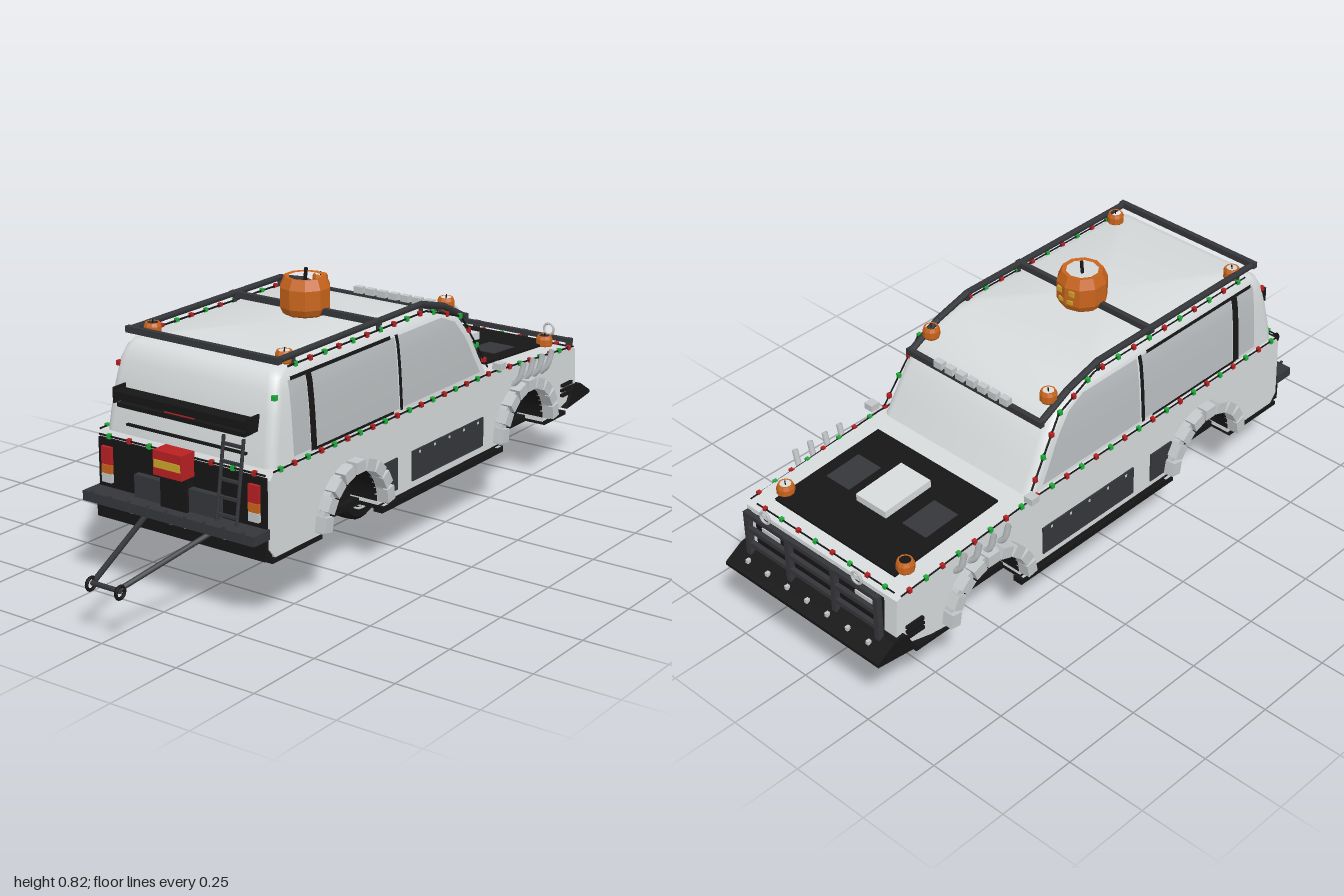
import * as THREE from 'three';
import { toCreasedNormals } from 'three/addons/utils/BufferGeometryUtils.js';

export function createModel() {
  const root = new THREE.Group();
  const mat = (name, color, side = THREE.FrontSide) => {
    const m = new THREE.MeshStandardMaterial({ color, side });
    m.name = name;
    return m;
  };
  const body = mat('body white', 0xd6dadb);
  const glass = mat('window grey', 0xb9bdbf, THREE.DoubleSide);
  const dark = mat('dark grey', 0x35363a, THREE.DoubleSide);
  const black = mat('black', 0x161617, THREE.DoubleSide);
  const steel = mat('light steel', 0xc3c7c9, THREE.DoubleSide);
  const orange = mat('pumpkin orange', 0xc8641c);
  const red = mat('red', 0xb82022);
  const green = mat('green', 0x1fae3c);
  const yellow = mat('yellow', 0xcda52a);

  const add = (name, geo, m, x = 0, y = 0, z = 0, parent = root) => {
    const mesh = new THREE.Mesh(geo, m);
    mesh.name = name;
    mesh.position.set(x, y, z);
    parent.add(mesh);
    return mesh;
  };
  const box = (name, m, w, h, d, x, y, z) => add(name, new THREE.BoxGeometry(w, h, d), m, x, y, z);
  const V = (p) => new THREE.Vector3(...p);
  const bar = (name, m, a, b, r = 0.008, sides = 6) => {
    const dir = V(b).sub(V(a));
    const mesh = add(name, new THREE.CylinderGeometry(r, r, dir.length(), sides), m);
    mesh.position.copy(V(a)).addScaledVector(dir, 0.5);
    mesh.quaternion.setFromUnitVectors(new THREE.Vector3(0, 1, 0), dir.normalize());
    return mesh;
  };
  // side outline in (z, y), extruded across x
  const across = (shape, x0, x1) => new THREE.ExtrudeGeometry(shape, { depth: x1 - x0, bevelEnabled: false, curveSegments: 16 })
    .rotateY(-Math.PI / 2).translate(x1, 0, 0);
  const sides = [-1, 1];
  const archZ = [0.305, -0.595], archY = 0.205;

  // lower body with wheel arches cut out
  const s = new THREE.Shape();
  s.moveTo(0.645, 0.432); s.lineTo(0.66, 0.41); s.lineTo(0.665, 0.22); s.lineTo(0.64, 0.19);
  for (const z of archZ) {
    s.lineTo(z + 0.135, 0.19);
    s.absarc(z, archY, 0.135, 0, Math.PI, false);
    s.lineTo(z - 0.135, 0.19);
  }
  [[-0.8, 0.2], [-0.925, 0.235], [-0.915, 0.385], [-0.85, 0.403], [-0.42, 0.432]].forEach((p) => s.lineTo(...p));
  add('lowerBody', across(s, -0.295, 0.295), body);

  // cabin: rounded rectangles stacked upward [y, front z, rear z, half width]
  const L = [[0.425, -0.42, 0.645, 0.288], [0.49, -0.38, 0.635, 0.284], [0.563, -0.34, 0.62, 0.279],
    [0.627, -0.285, 0.605, 0.272], [0.66, -0.2, 0.588, 0.264], [0.676, -0.15, 0.57, 0.254], [0.684, -0.1, 0.545, 0.235]];
  const at = (y, col) => {
    let i = 0;
    while (i < L.length - 2 && y > L[i + 1][0]) i++;
    return THREE.MathUtils.mapLinear(y, L[i][0], L[i + 1][0], L[i][col], L[i + 1][col]);
  };
  const pos = [], idx = [], n = 20, r = 0.03;
  for (const [y, zf, zb, w] of L) {
    for (let k = 0; k < n; k++) {
      const q = Math.floor(k / 5), a = (q + (k % 5) / 4) * Math.PI / 2;
      pos.push((q < 2 ? w - r : r - w) + r * Math.sin(a), y, (q % 3 === 0 ? zb - r : zf + r) + r * Math.cos(a));
    }
  }
  pos.push(0, 0.687, 0.2);
  for (let i = 0; i < L.length; i++) {
    for (let k = 0; k < n; k++) {
      const a = i * n + k, b = i * n + (k + 1) % n;
      if (i === L.length - 1) idx.push(a, b, L.length * n);
      else idx.push(a, b, a + n, b, b + n, a + n);
    }
  }
  const cab = new THREE.BufferGeometry();
  cab.setAttribute('position', new THREE.Float32BufferAttribute(pos, 3));
  cab.setIndex(idx);
  add('cabin', toCreasedNormals(cab, 0.6), body);

  // thin panels that follow the cabin side
  const panel = (name, m, side, z0, z1, y0, y1, off) => {
    const g = new THREE.PlaneGeometry(1, 1, 1, 8), p = g.attributes.position;
    for (let i = 0; i < p.count; i++) {
      const y = y0 + (p.getY(i) + 0.5) * (y1 - y0);
      p.setXYZ(i, side * (at(y, 3) + off), y, p.getX(i) < 0 ? z0 : z1 ?? at(y, 1) + 0.045);
    }
    g.computeVertexNormals();
    add(name, g, m);
  };
  for (const sd of sides) {
    panel('frontSideWindow', glass, sd, 0.04, null, 0.445, 0.65, 0.002);
    panel('rearSideWindow', glass, sd, 0.45, 0.06, 0.445, 0.65, 0.002);
    panel('quarterWindow', glass, sd, 0.55, 0.475, 0.445, 0.65, 0.002);
    panel('windowPillar', black, sd, 0.475, 0.45, 0.44, 0.655, 0.004);
    panel('centrePillar', black, sd, 0.058, 0.044, 0.44, 0.655, 0.004);
    panel('upperWindowTrim', black, sd, 0.54, 0.08, 0.648, 0.658, 0.004);
    panel('lowerWindowTrim', black, sd, 0.46, 0.09, 0.438, 0.446, 0.004);
  }

  // underside and wheel wells
  box('floor', black, 0.46, 0.02, 1.48, 0, 0.19, -0.08);
  [[0.66, 0.44], [0.17, -0.46], [-0.73, -0.86]].forEach(([a, b]) => box('floorSection', black, 0.6, 0.012, a - b, 0, 0.187, (a + b) / 2));
  for (const z of archZ) {
    const g = new THREE.CylinderGeometry(0.133, 0.133, 0.586, 20, 1, true, 0, Math.PI).rotateZ(Math.PI / 2);
    add('wheelWell', g, black, 0, archY, z);
    box('innerWell', black, 0.42, 0.12, 0.24, 0, 0.25, z);
  }

  for (const sd of sides) {
    // ribbed arch flares
    for (const z of archZ) {
      const f = new THREE.Shape();
      f.absarc(z, archY, 0.16, 0, Math.PI, false);
      f.absarc(z, archY, 0.133, Math.PI, 0, true);
      add('archFlare', across(f, sd > 0 ? 0.285 : -0.318, sd > 0 ? 0.318 : -0.285), steel);
      for (let i = 0; i < 9; i++) {
        const a = (i + 0.5) / 9 * Math.PI;
        const b = box('flareSegment', steel, 0.035, 0.034, 0.042, sd * 0.315, archY + Math.sin(a) * 0.148, z + Math.cos(a) * 0.148);
        b.rotation.x = Math.PI / 2 - a;
      }
    }
    // side panels, sills and front vents
    box('rearSidePanel', dark, 0.006, 0.095, 0.09, sd * 0.297, 0.26, 0.125);
    box('middleSidePanel', dark, 0.006, 0.09, 0.375, sd * 0.297, 0.26, -0.183);
    for (let i = 0; i < 5; i++) box('panelBolt', steel, 0.006, 0.007, 0.007, sd * 0.299, 0.296, -0.03 - i * 0.077);
    box('sillStep', black, 0.03, 0.018, 0.64, sd * 0.295, 0.18, -0.15);
    for (const z of [0.15, -0.45]) box('stepFoot', steel, 0.03, 0.022, 0.02, sd * 0.293, 0.18, z);
    for (let i = 0; i < 3; i++) box('sideVent', black, 0.014, 0.009, 0.06, sd * 0.298, 0.25 + i * 0.016, -0.86);
    // fender pipes
    for (let i = 0; i < 4; i++) {
      const z = -0.54 - i * 0.055;
      const c = new THREE.CatmullRomCurve3([[0.295, 0.36, z], [0.318, 0.385, z], [0.332, 0.435, z]].map(([x, y, q]) => V([sd * x, y, q])));
      add('fenderPipe', new THREE.TubeGeometry(c, 6, 0.009, 8), steel);
    }
    box('sideMarker', steel, 0.03, 0.02, 0.03, sd * 0.313, 0.452, -0.43);
  }

  // bonnet panel, vents and scoop
  const bonnet = new THREE.Group();
  bonnet.name = 'bonnet';
  bonnet.position.set(0, 0.418, -0.672);
  bonnet.rotation.x = -0.067;
  root.add(bonnet);
  add('bonnetPanel', new THREE.BoxGeometry(0.47, 0.008, 0.385), black, 0, 0, 0, bonnet);
  for (const sd of sides) add('bonnetVent', new THREE.BoxGeometry(0.09, 0.004, 0.12), dark, sd * 0.15, 0.004, 0.02, bonnet);
  add('bonnetScoop', new THREE.BoxGeometry(0.115, 0.03, 0.17), body, 0, 0.012, 0.03, bonnet);

  // roof rack and light bar
  for (const sd of sides) {
    const pts = [[0.57, 0.705], [-0.1, 0.705], [-0.22, 0.672], [-0.33, 0.617]].map(([z, y]) => [sd * 0.25, y, z]);
    for (let i = 0; i < 3; i++) bar('rackRail', dark, pts[i], pts[i + 1], 0.01);
    for (const z of [0.5, 0.11, -0.1]) bar('rackFoot', dark, [sd * 0.25, 0.67, z], [sd * 0.25, 0.705, z], 0.006);
  }
  [[0.705, 0.57], [0.703, 0.115], [0.617, -0.33]].forEach(([y, z]) => box('rackCrossbar', dark, 0.52, 0.018, 0.016, 0, y, z));
  for (let i = 0; i < 7; i++) box('roofLamp', steel, 0.03, 0.022, 0.02, (i - 3) * 0.042, 0.635, -0.335);

  // pumpkins: open-topped ten-sided shells
  const pumpkin = (x, y, z, R, sx = 1) => {
    const pts = [[0.65, -0.8], [0.88, -0.62], [1, -0.38], [1, 0.38], [0.82, 0.78], [0.64, 0.76]].map(([a, b]) => new THREE.Vector2(a * R, b * R * sx));
    const g = new THREE.LatheGeometry(pts, 10).toNonIndexed();
    g.computeVertexNormals();
    add('pumpkin', g, orange, x, y, z);
    bar('pumpkinStem', black, [x, y + R * 0.6, z], [x + R * 0.05, y + R * 1.08, z], R * 0.07);
  };
  pumpkin(0, 0.738, 0.11, 0.074);
  for (const sd of sides) {
    box('pumpkinEye', yellow, 0.018, 0.016, 0.006, sd * 0.022, 0.752, 0.041);
    pumpkin(sd * 0.225, 0.695, 0.505, 0.025);
    pumpkin(sd * 0.225, 0.665, -0.27, 0.025);
    pumpkin(sd * 0.235, 0.418, -0.825, 0.026);
  }
  box('pumpkinMouth', yellow, 0.05, 0.012, 0.006, 0, 0.722, 0.041);

  // festive light strings
  const string = (pts, count) => {
    const c = new THREE.CurvePath();
    for (let i = 0; i < pts.length - 1; i++) {
      c.add(new THREE.LineCurve3(V(pts[i]), V(pts[i + 1])));
      bar('lightWire', black, pts[i], pts[i + 1], 0.003, 4);
    }
    for (let i = 0; i < count; i++) {
      const p = c.getPointAt((i + 0.5) / count);
      box('fairyLight', i % 2 ? red : green, 0.011, 0.014, 0.011, p.x, p.y, p.z);
    }
  };
  for (const sd of sides) {
    string([[sd * 0.298, 0.433, 0.65], [sd * 0.298, 0.433, -0.42], [sd * 0.296, 0.395, -0.9]], 26);
    string([[sd * 0.255, 0.681, 0.53], [sd * 0.255, 0.681, -0.12], [sd * 0.272, 0.632, -0.28], [sd * 0.288, 0.45, -0.405]], 16);
    box('rearMarker', sd > 0 ? green : red, 0.012, 0.014, 0.014, sd * 0.265, 0.615, 0.6);
  }
  string([[-0.285, 0.425, 0.668], [0.285, 0.425, 0.668]], 8);
  string([[-0.27, 0.392, -0.9], [0.27, 0.392, -0.9]], 8);

  // tail: recess panel, lamps, bumper, tank, ladder
  box('tailPanel', black, 0.575, 0.215, 0.008, 0, 0.31, 0.666);
  box('tailBoard', dark, 0.29, 0.065, 0.02, 0, 0.312, 0.68);
  box('plate', steel, 0.037, 0.02, 0.006, 0, 0.334, 0.692);
  box('plateMark', yellow, 0.026, 0.007, 0.006, 0, 0.334, 0.694);
  box('rearBumper', dark, 0.59, 0.028, 0.075, 0, 0.264, 0.695);
  box('rearSkirt', black, 0.58, 0.06, 0.03, 0, 0.22, 0.665);
  for (let i = 0; i < 9; i++) box('bumperRib', dark, 0.006, 0.03, 0.008, (i - 4) * 0.065, 0.27, 0.732);
  box('tailMount', black, 0.09, 0.1, 0.05, 0, 0.325, 0.675);
  box('redBox', red, 0.098, 0.07, 0.055, 0, 0.409, 0.695);
  box('yellowBand', yellow, 0.09, 0.022, 0.006, 0, 0.408, 0.722);
  for (const sd of sides) {
    box('tailLampRed', red, 0.034, 0.05, 0.012, sd * 0.253, 0.372, 0.675);
    box('tailLampOrange', orange, 0.034, 0.025, 0.012, sd * 0.253, 0.333, 0.675);
    box('tailLampWhite', steel, 0.034, 0.025, 0.012, sd * 0.253, 0.307, 0.675);
    for (const x of [0.025, 0.16]) add('towRing', new THREE.TorusGeometry(0.014, 0.003, 5, 12), steel, sd * x, 0.241, 0.685);
    bar('ladderRail', dark, [0.18 + sd * 0.033, 0.28, 0.7], [0.18 + sd * 0.033, 0.51, 0.665], 0.005);
    box('spoilerEnd', black, 0.005, 0.045, 0.05, sd * 0.228, 0.547, 0.645);
    for (const x of [0.105]) box('spoilerStay', black, 0.006, 0.04, 0.03, sd * x, 0.53, 0.64);
  }
  for (let i = 0; i < 5; i++) box('ladderRung', dark, 0.07, 0.008, 0.008, 0.18, 0.3 + i * 0.047, 0.697 - i * 0.007);
  box('spoilerUpper', black, 0.455, 0.022, 0.045, 0, 0.549, 0.65);
  box('spoilerLower', black, 0.435, 0.012, 0.035, 0, 0.522, 0.65);
  box('brakeLight', red, 0.1, 0.004, 0.006, 0, 0.535, 0.668);
  box('tailTrim', black, 0.41, 0.006, 0.012, 0, 0.462, 0.642);

  // tow frame
  for (const sd of sides) {
    bar('towStrut', dark, [sd * 0.115, 0.235, 0.67], [sd * 0.045, 0.155, 0.97], 0.008);
    add('towEye', new THREE.TorusGeometry(0.017, 0.005, 6, 14).rotateY(Math.PI / 2), black, sd * 0.05, 0.148, 0.978);
  }
  bar('towCrossbar', dark, [-0.05, 0.15, 0.975], [0.05, 0.15, 0.975], 0.007);

  // nose: sloped skirt, grille and bull bar
  const k = new THREE.Shape([[-0.9, 0.27], [-0.94, 0.265], [-1, 0.228], [-1, 0.218], [-0.86, 0.2]].map((p) => new THREE.Vector2(...p)));
  add('frontSkirt', across(k, -0.305, 0.305), black);
  for (let i = 0; i < 7; i++) box('skirtBolt', steel, 0.01, 0.012, 0.012, (i - 3) * 0.08, 0.251, -0.972);
  box('grille', black, 0.5, 0.11, 0.008, 0, 0.32, -0.922);
  for (const y of [0.295, 0.345, 0.395]) box('bullBarRail', dark, 0.52, 0.014, 0.014, 0, y, -0.947);
  for (const x of [-0.255, -0.09, 0.09, 0.255]) box('bullBarPost', dark, 0.016, 0.145, 0.018, x, 0.33, -0.947);
  for (const sd of sides) {
    box('headLamp', steel, 0.07, 0.045, 0.01, sd * 0.185, 0.33, -0.926);
    add('barRing', new THREE.TorusGeometry(0.018, 0.004, 6, 14), steel, sd * 0.18, 0.42, -0.947);
  }

  // single centre wheel
  const wheel = new THREE.Group();
  wheel.name = 'centreWheel';
  wheel.position.set(0, 0.112, -0.125);
  root.add(wheel);
  const tyre = [[0.076, -0.036], [0.1, -0.038], [0.111, -0.028], [0.112, 0], [0.111, 0.028], [0.1, 0.038], [0.076, 0.036], [0.074, 0], [0.076, -0.036]];
  const tg = new THREE.LatheGeometry(tyre.map((p) => new THREE.Vector2(...p)), 28).rotateZ(Math.PI / 2);
  add('tyre', toCreasedNormals(tg, 0.6), black, 0, 0, 0, wheel);
  add('rimCore', new THREE.CylinderGeometry(0.074, 0.074, 0.04, 24).rotateZ(Math.PI / 2), dark, 0, 0, 0, wheel);
  for (const sd of sides) {
    add('rimEdge', new THREE.TorusGeometry(0.076, 0.004, 6, 28).rotateY(Math.PI / 2), steel, sd * 0.034, 0, 0, wheel);
    add('hub', new THREE.CylinderGeometry(0.018, 0.018, 0.02, 12).rotateZ(Math.PI / 2), steel, sd * 0.026, 0, 0, wheel);
    for (let i = 0; i < 10; i++) {
      const g = new THREE.BoxGeometry(0.012, 0.056, 0.013).translate(0, 0.044, 0).rotateX(i * Math.PI / 5);
      add('spoke', g, steel, sd * 0.026, 0, 0, wheel);
    }
  }
  return root;
}
